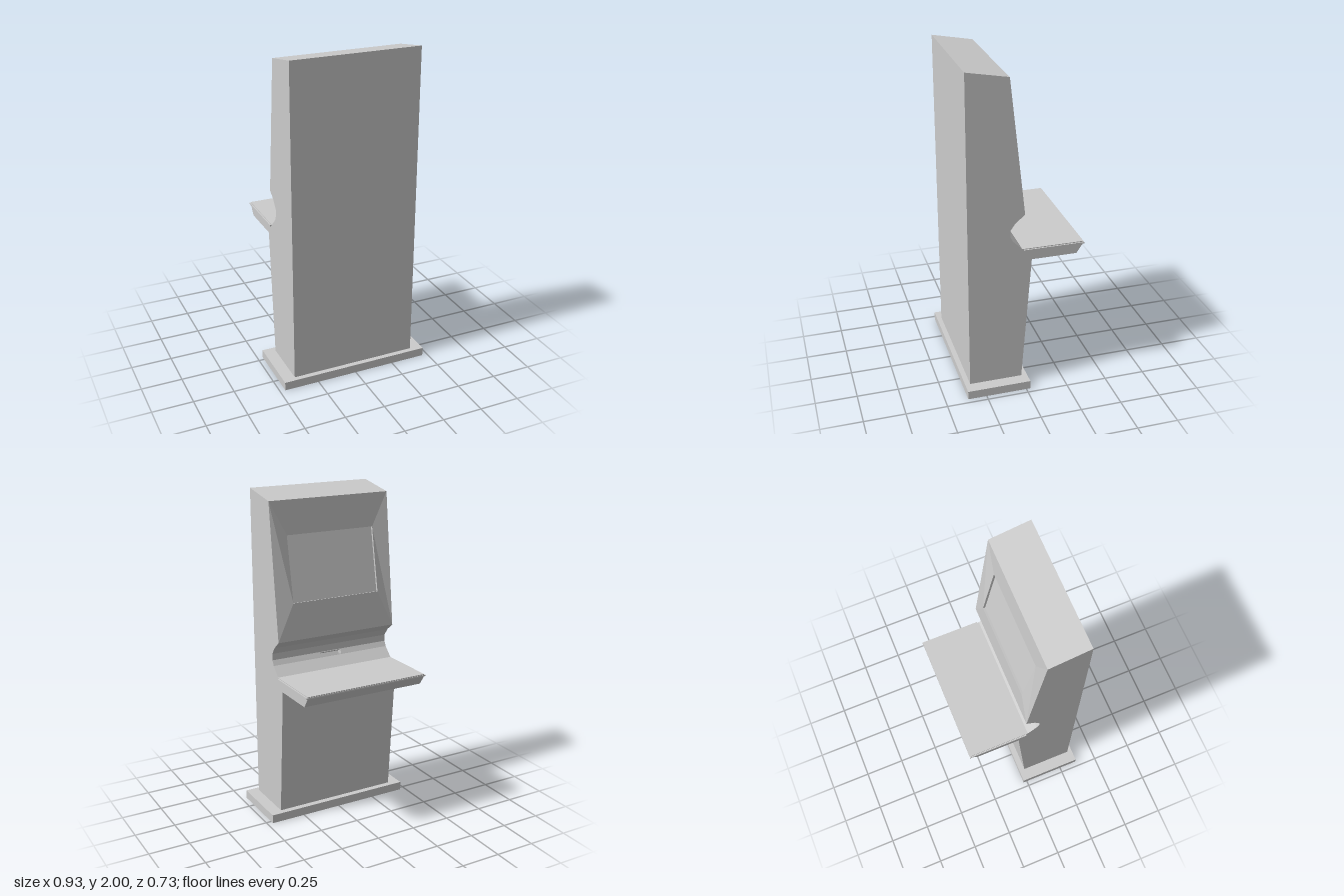
import * as THREE from 'three';

const W = 0.393; // half width of the cabinet

const material = () => new THREE.MeshStandardMaterial({ color: 0xcccccc, flatShading: true });

function addMesh(group, name, geometry) {
  const mesh = new THREE.Mesh(geometry, material());
  mesh.name = name;
  group.add(mesh);
  return mesh;
}

// Non-indexed geometry from four-cornered faces (counter-clockwise from outside)
function quadGeometry(quads) {
  const pos = [];
  for (const [a, b, c, d] of quads) pos.push(...a, ...b, ...c, ...a, ...c, ...d);
  const g = new THREE.BufferGeometry();
  g.setAttribute('position', new THREE.Float32BufferAttribute(pos, 3));
  g.computeVertexNormals();
  return g;
}

// Rectangle across x between two [z, y] profile points
const across = (w, a, b) => [[-w, a[1], a[0]], [w, a[1], a[0]], [w, b[1], b[0]], [-w, b[1], b[0]]];

// Four faces joining an outer and an inner rectangle
const ring = (outer, inner) => outer.map((p, i) => {
  const j = (i + 1) % 4;
  return [p, outer[j], inner[j], inner[i]];
});

// Frame around an opening, with walls stepping back to a recessed panel
function recess(outer, w, a, b, depth) {
  const dz = b[0] - a[0], dy = b[1] - a[1], len = Math.hypot(dz, dy);
  const back = ([z, y]) => [z - dy / len * depth, y + dz / len * depth];
  const opening = across(w, a, b);
  const panel = across(w, back(a), back(b));
  return { frame: ring(outer, opening), walls: ring(opening, panel), panel };
}

// Flat side panel closing a [z, y] profile; s = 1 for the +x side, -1 for the -x side
function sidePanel(profile, s) {
  const shape = new THREE.Shape(profile.map(([z, y]) => new THREE.Vector2(-s * z, y)));
  return new THREE.ShapeGeometry(shape).rotateY(s * Math.PI / 2).translate(s * W, 0, 0);
}

export function createModel() {
  const kiosk = new THREE.Group();
  kiosk.name = 'kiosk';

  // Floor plate
  addMesh(kiosk, 'basePlate', new THREE.BoxGeometry(0.934, 0.053, 0.39)).position.set(0, 0.0265, 0.17);

  // Cabinet outline as [z, y]: up the back, over the top, down the working side
  const body = [
    [0.334, 0.053], [0.334, 2.0], [0.088, 1.955], [-0.004, 1.143],
    [0.051, 1.098], [0.083, 1.053], [0.083, 1.013], [0.067, 0.982], [0.011, 0.926],
    [-0.047, 0.852], [0.011, 0.053],
  ];
  const SCREEN = 2, SLOT = 6; // outline edges that carry an opening
  const edge = i => across(W, body[i], body[(i + 1) % body.length]);

  const shell = body.map((_, i) => i).filter(i => i !== SCREEN && i !== SLOT).map(edge);
  addMesh(kiosk, 'cabinetShell', quadGeometry(shell));
  for (const s of [1, -1]) addMesh(kiosk, s > 0 ? 'leftSide' : 'rightSide', sidePanel(body, s));

  // Sloping bezel with the sunken screen
  const screen = recess(edge(SCREEN), 0.287, [0.0765, 1.753], [0.0055, 1.366], 0.013);
  addMesh(kiosk, 'screenBezel', quadGeometry([...screen.frame, ...screen.walls]));
  addMesh(kiosk, 'screen', quadGeometry([screen.panel]));

  // Small slot in the hollow below the screen
  const slot = recess(edge(SLOT), 0.07, [0.081, 1.009], [0.069, 0.986], 0.035);
  addMesh(kiosk, 'slotSurround', quadGeometry([...slot.frame, ...slot.walls]));
  addMesh(kiosk, 'slotBack', quadGeometry([slot.panel]));

  // Shelf with a slanted lower edge
  const shelf = [[0.011, 0.926], [-0.362, 0.926], [-0.362, 0.914], [-0.32, 0.852], [-0.047, 0.852]];
  const shelfFaces = shelf.slice(1).map((p, i) => across(W, shelf[i], p));
  addMesh(kiosk, 'shelf', quadGeometry(shelfFaces));
  for (const s of [1, -1]) addMesh(kiosk, s > 0 ? 'shelfLeftEnd' : 'shelfRightEnd', sidePanel(shelf, s));

  // Thin lip around the shelf edge
  addMesh(kiosk, 'shelfLip', new THREE.BoxGeometry(0.802, 0.008, 0.365)).position.set(0, 0.917, -0.1825);

  return kiosk;
}
